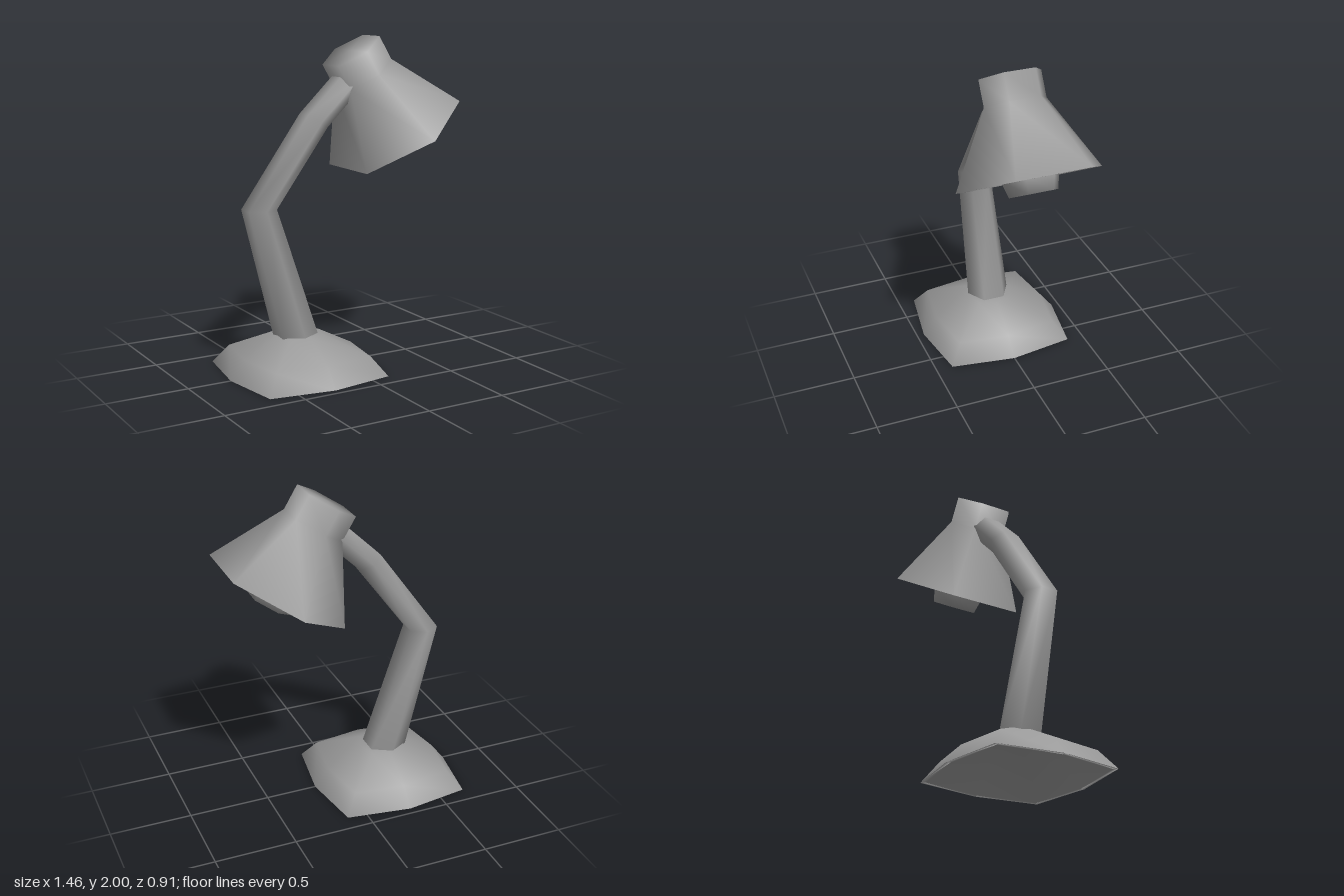
import * as THREE from 'three';
import { mergeVertices } from 'three/addons/utils/BufferGeometryUtils.js';

const material = new THREE.MeshStandardMaterial({ color: 0x999999, side: THREE.DoubleSide });

// Welds all seams so the whole part shades smoothly
function part(name, geometry) {
  geometry.deleteAttribute('normal');
  geometry.deleteAttribute('uv');
  const welded = mergeVertices(geometry, 1e-4);
  welded.computeVertexNormals();
  const mesh = new THREE.Mesh(welded, material);
  mesh.name = name;
  return mesh;
}

function lathe(profile, sides) {
  return new THREE.LatheGeometry(profile.map(([r, y]) => new THREE.Vector2(r, y)), sides);
}

// Hollow foot: eight-sided lathe with its diagonal corners pulled out
function baseGeometry() {
  const g = lathe([
    [0, 0.2], [0.13, 0.2], [0.34, 0.1], [0.43, 0], [0.455, 0],
    [0.365, 0.115], [0.14, 0.23], [0, 0.23],
  ], 8);
  const p = g.attributes.position;
  for (let i = 0; i < p.count; i++) {
    const x = p.getX(i), z = p.getZ(i);
    if (Math.abs(x) > 0.01 && Math.abs(z) > 0.01) {
      const k = p.getY(i) > 0.15 ? 1.08 : 1.228;
      p.setXYZ(i, x * k, p.getY(i), z * k);
    }
  }
  return g;
}

// Bent six-sided arm: cylinder rings moved along the path, top to bottom
function armGeometry() {
  const rings = [
    { x: 0.09, y: 1.755, r: 0.085, depth: 0.105, tilt: -0.8 },
    { x: -0.165, y: 1.51, r: 0.088, depth: 0.105, tilt: -0.55 },
    { x: -0.53, y: 1.01, r: 0.104, depth: 0.106, tilt: 0 },
    { x: -0.292, y: 0.21, r: 0.137, depth: 0.135, tilt: 0 },
  ];
  const n = rings.length - 1;
  const g = new THREE.CylinderGeometry(1, 1, 1, 6, n);
  const p = g.attributes.position;
  for (let i = 0; i < p.count; i++) {
    const ring = rings[Math.round((0.5 - p.getY(i)) * n)];
    const across = p.getX(i) * ring.r;
    p.setXYZ(i,
      ring.x + across * Math.cos(ring.tilt),
      ring.y + across * Math.sin(ring.tilt),
      p.getZ(i) * ring.depth);
  }
  return g;
}

export function createModel() {
  const lamp = new THREE.Group();
  lamp.name = 'deskLamp';

  const base = part('base', baseGeometry());
  base.position.x = -0.275;
  lamp.add(base, part('arm', armGeometry()));

  // Tilted head: hollow shade with a closed neck, and a bulb that fills its throat
  const head = new THREE.Group();
  head.name = 'head';
  head.position.set(0.4, 1.4, 0);
  head.rotation.z = 0.543;
  head.add(part('shade', lathe([
    [0, 0.4], [0.18, 0.4], [0.415, 0], [0.445, 0],
    [0.19, 0.44], [0.19, 0.6], [0, 0.6],
  ], 6)));
  const bulb = part('bulb', lathe([
    [0, -0.08], [0.15, -0.08], [0.178, 0.02], [0.165, 0.2], [0.19, 0.385],
  ], 6));
  bulb.position.x = 0.01;
  head.add(bulb);
  lamp.add(head);
  return lamp;
}
